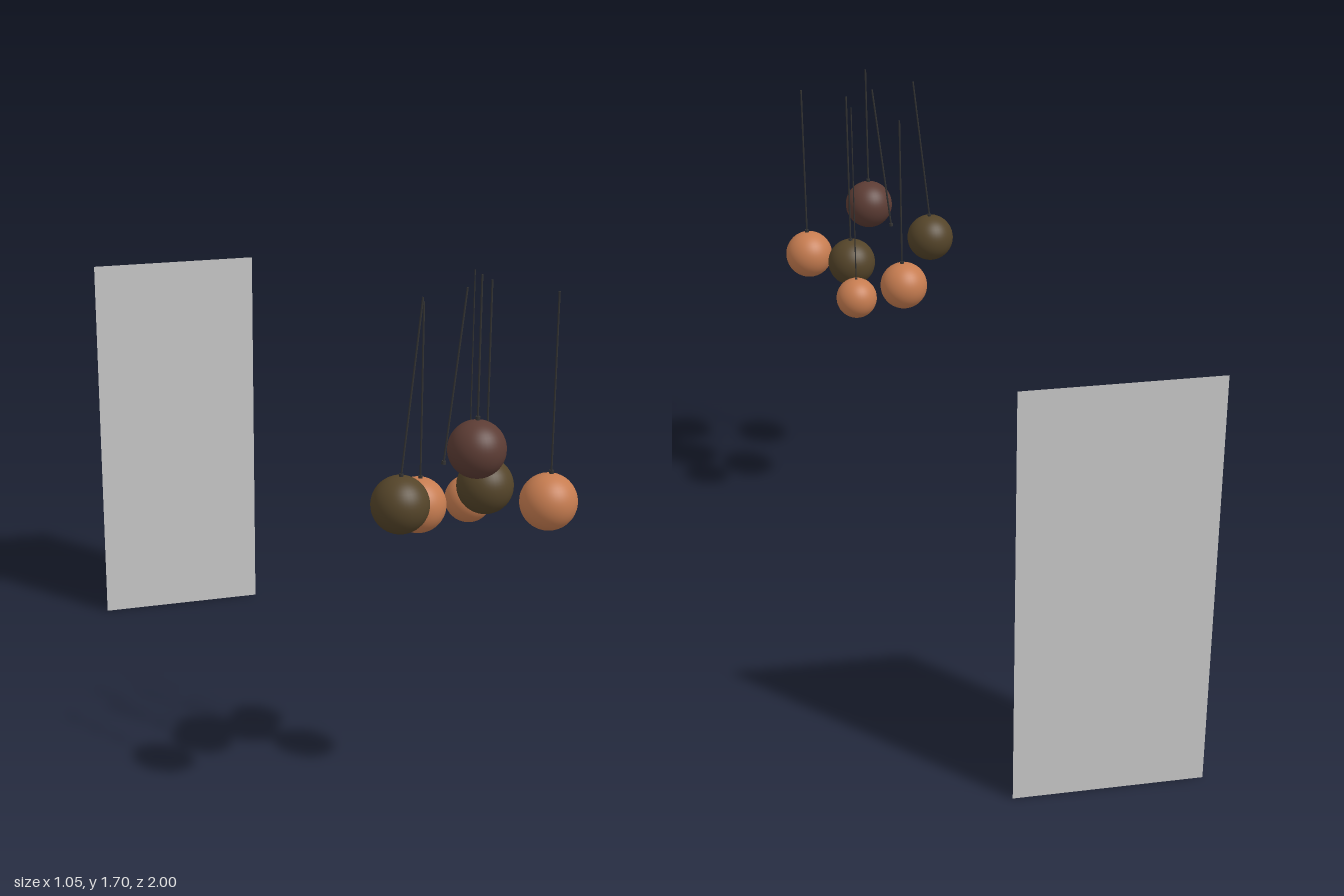
import * as THREE from 'three';

const paint = (color) => new THREE.MeshStandardMaterial({ color });
const COPPER = paint(0xc67c50), OLIVE = paint(0x544429), BROWN = paint(0x5c3c34), DARK = paint(0x333333);

// Thin cord between two points, with a small ferrule at its lower end
function cord(bottom, top, radius = 0.003) {
  const a = new THREE.Vector3(...bottom), b = new THREE.Vector3(...top);
  const dir = b.clone().sub(a);
  const group = new THREE.Group();
  group.name = 'cord';
  group.position.copy(a);
  group.quaternion.setFromUnitVectors(new THREE.Vector3(0, 1, 0), dir.clone().normalize());

  const line = new THREE.Mesh(new THREE.CylinderGeometry(radius, radius, dir.length(), 8), DARK);
  line.name = 'cordLine';
  line.position.y = dir.length() / 2;
  const cap = new THREE.Mesh(new THREE.CylinderGeometry(radius * 2.2, radius * 2.2, 0.01, 12), DARK);
  cap.name = 'cordFerrule';
  group.add(line, cap);
  return group;
}

// Ball hanging from its own cord
function pendant({ at, r = 0.083, mat, bottom, top, wire }) {
  const group = new THREE.Group();
  group.name = 'pendant';
  const ball = new THREE.Mesh(new THREE.SphereGeometry(r, 40, 24), mat);
  ball.name = 'ball';
  ball.position.set(...at);
  group.add(ball, cord(bottom, top, wire));
  return group;
}

export function createModel() {
  const model = new THREE.Group();
  model.name = 'hangingBalls';

  // Flat upright panel at the back
  const panel = new THREE.Mesh(
    new THREE.PlaneGeometry(0.585, 1.345),
    new THREE.MeshStandardMaterial({ color: 0xcccccc, side: THREE.DoubleSide })
  );
  panel.name = 'backPanel';
  panel.position.set(-0.235, 0.6725, -0.999);
  model.add(panel);

  // Cluster of balls
  const pendants = [
    { at: [-0.002, 1.058, 0.915], mat: OLIVE, bottom: [0, 1.143, 0.915], top: [0.053, 1.643, 0.915] },
    { at: [0.128, 0.967, 0.695], mat: COPPER, bottom: [0.133, 1.052, 0.697], top: [0.133, 1.573, 0.697] },
    { at: [0.22, 1.2, 0.915], mat: BROWN, bottom: [0.22, 1.29, 0.915], top: [0.22, 1.695, 0.915] },
    { at: [0.303, 1.037, 0.775], mat: OLIVE, bottom: [0.305, 1.12, 0.775], top: [0.305, 1.643, 0.775] },
    { at: [0.303, 0.952, 0.645], r: 0.071, mat: COPPER, bottom: [0.303, 1.02, 0.645], top: [0.303, 1.643, 0.645], wire: 0.002 },
    { at: [0.442, 1.023, 0.915], mat: COPPER, bottom: [0.447, 1.112, 0.915], top: [0.447, 1.633, 0.915] },
  ];
  for (const p of pendants) model.add(pendant(p));

  // Spare slanted cord without a ball
  const spare = cord([0.15, 1.143, 0.842], [0.207, 1.643, 0.842]);
  spare.name = 'spareCord';
  model.add(spare);

  return model;
}
